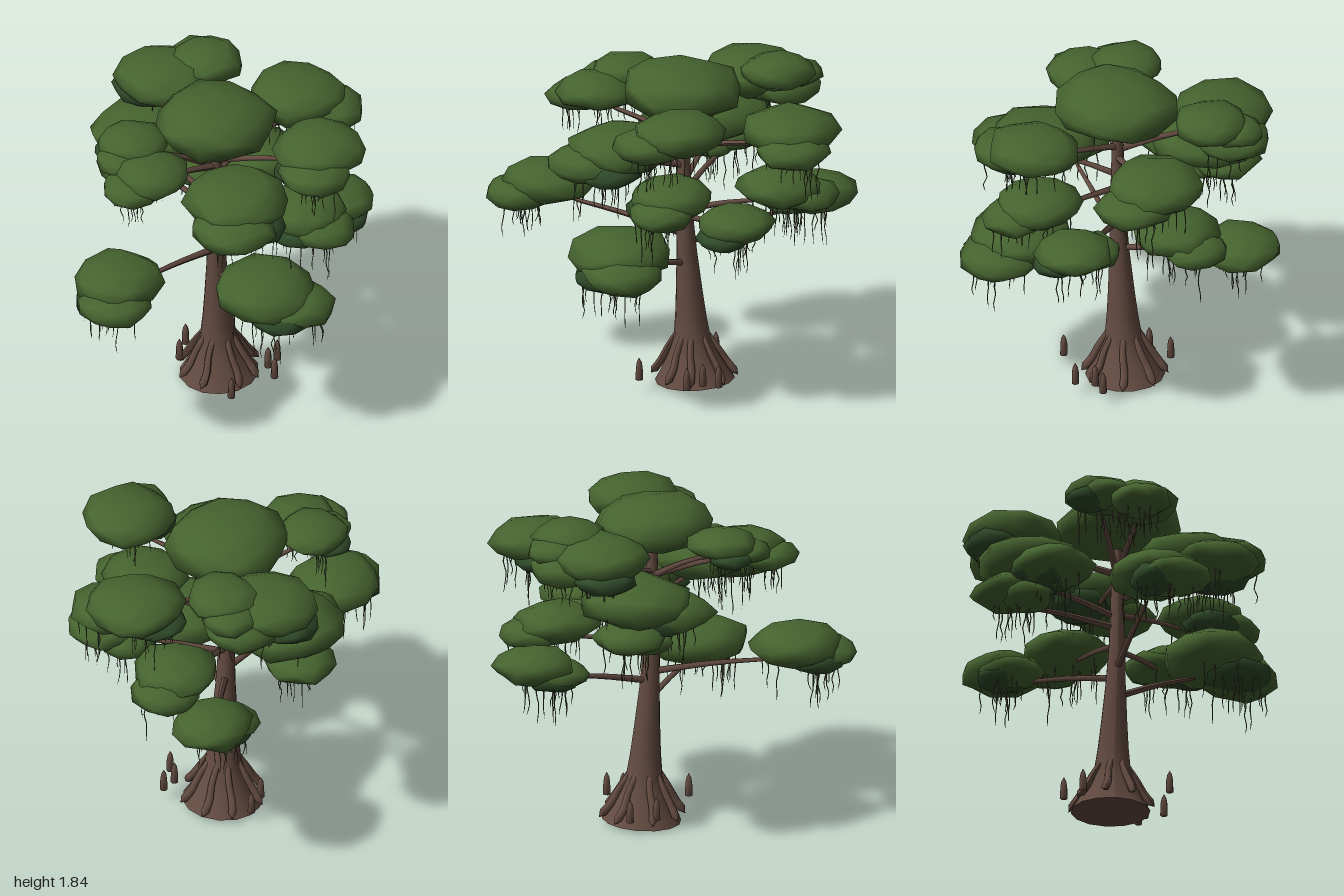
import * as THREE from 'three';
import { mergeVertices, mergeGeometries } from 'three/addons/utils/BufferGeometryUtils.js';

const V = (x, y, z) => new THREE.Vector3(x, y, z);
const profileOf = (pairs) => pairs.map(([r, y]) => new THREE.Vector2(r, y));

const mat = (name, color) => {
  const m = new THREE.MeshStandardMaterial({ color });
  m.name = name;
  return m;
};

// Small seeded generator
function seeded(seed) {
  return () => {
    seed = (seed * 16807) % 2147483647;
    return seed / 2147483647;
  };
}

// Trunk centre line leans slightly with height
const trunkAt = (y) => V(-0.065 + 0.03 * Math.min(1, y), y, -0.14 + 0.05 * Math.min(1, y));

// Tapered tube with a closed tip
function limb(points, r0, r1, sides) {
  const steps = 8;
  const curve = new THREE.CatmullRomCurve3(points);
  const geo = new THREE.TubeGeometry(curve, steps, r0, sides);
  const pos = geo.attributes.position;
  const v = V(0, 0, 0);
  for (let i = 0; i <= steps; i++) {
    const c = curve.getPointAt(i / steps);
    const s = i === steps ? 0.02 : 1 + (r1 / r0 - 1) * (i / steps);
    for (let j = 0; j <= sides; j++) {
      const k = i * (sides + 1) + j;
      v.fromBufferAttribute(pos, k).sub(c).multiplyScalar(s).add(c);
      pos.setXYZ(k, v.x, v.y, v.z);
    }
  }
  geo.computeVertexNormals();
  return geo;
}

// Flattened, irregular foliage lobe
function lobe(r, rand) {
  let geo = new THREE.IcosahedronGeometry(1, 1);
  geo.deleteAttribute('normal');
  geo.deleteAttribute('uv');
  geo = mergeVertices(geo, 1e-3);
  geo.rotateY(rand() * 6.28);
  const pos = geo.attributes.position;
  for (let i = 0; i < pos.count; i++) {
    const s = r * (0.9 + rand() * 0.2);
    pos.setXYZ(i, pos.getX(i) * s, pos.getY(i) * s * 0.45, pos.getZ(i) * s);
  }
  geo.computeVertexNormals();
  return geo;
}

// Bend a lathed trunk part along the lean, with a slightly sloping foot
function lean(geo) {
  const pos = geo.attributes.position;
  for (let i = 0; i < pos.count; i++) {
    const y = pos.getY(i);
    const c = trunkAt(y);
    const z = pos.getZ(i) + c.z;
    const slope = Math.max(0, 1 - y / 0.3) * 0.06 * (0.08 - z);
    pos.setXYZ(i, pos.getX(i) + c.x, Math.max(0, y + slope), z);
  }
  geo.computeVertexNormals();
  return geo;
}

// Clusters: branch height on trunk (0 for none), main pad centre, radius,
// then compass angles of the smaller side lobes (the second one is dark)
const CLUSTERS = [
  ['crown', 0, -0.03, 1.68, -0.08, 0.33, []],
  ['topBack', 1.35, -0.09, 1.54, -0.72, 0.26, [-35, 140]],
  ['topLeft', 1.42, 0.5, 1.64, -0.37, 0.25, [50, 90]],
  ['topRight', 1.4, -0.58, 1.63, -0.2, 0.27, [-98, 150]],
  ['topRightUpper', 0, -0.48, 1.7, -0.41, 0.2, [-165]],
  ['topFront', 1.38, -0.19, 1.65, 0.36, 0.19, [70, 130]],
  ['topFrontLeft', 1.38, 0.03, 1.59, 0.42, 0.21, [95]],
  ['middleLeft', 1.24, 0.34, 1.42, 0.08, 0.28, [45, 0]],
  ['middleLeftBack', 1.16, 0.44, 1.25, -0.3, 0.23, [-5, 60]],
  ['middleRight', 1.14, -0.51, 1.38, -0.02, 0.3, [60, 70]],
  ['middleRightLow', 1.08, -0.64, 1.22, -0.02, 0.19, [30]],
  ['middleBack', 0.98, -0.25, 1.14, -0.56, 0.23, [-120]],
  ['middleBackLeft', 0.95, 0.33, 1.12, -0.63, 0.21, [150, 20]],
  ['lowFront', 0.84, 0.07, 1.04, 0.69, 0.25, [45, 80]],
  ['lowRight', 0.79, -0.61, 1.0, -0.57, 0.22, [70, 90]],
  ['lowLeft', 0.68, 0.48, 0.88, 0, 0.28, [-35, 0]],
];

// Side lobes by order: distance, size and drop as shares of the main radius
const SIDE_LOBES = [
  { distance: 0.62, size: 0.78, drop: 0.22 },
  { distance: 0.45, size: 0.66, drop: 0.3 },
];

export function createModel() {
  const root = new THREE.Group();
  root.name = 'swampTree';
  const bark = mat('bark', 0x624a40);
  const leaf = mat('leaf', 0x45632f);
  const darkLeaf = mat('darkLeaf', 0x2f4a29);
  const moss = mat('moss', 0x565a42);
  const rand = seeded(4217);

  const add = (parent, name, geo, material) => {
    const mesh = new THREE.Mesh(geo, material);
    mesh.name = name;
    parent.add(mesh);
    return mesh;
  };

  // Flared trunk and its flat underside
  const trunk = profileOf([[0.215, 0], [0.18, 0.06], [0.135, 0.15], [0.1, 0.25], [0.084, 0.38],
    [0.072, 0.52], [0.055, 0.75], [0.044, 1], [0.036, 1.25], [0.028, 1.62]]);
  add(root, 'trunk', lean(new THREE.LatheGeometry(trunk, 14)), bark);
  add(root, 'trunkBase', lean(new THREE.LatheGeometry(profileOf([[0.001, 0], [0.215, 0]]), 14)), bark);

  // Buttress roots around the flare
  const roots = 8;
  for (let i = 0; i < roots; i++) {
    const a = (i / roots) * Math.PI * 2 + 0.25 + (rand() - 0.5) * 0.25;
    const at = (r, y, turn) => trunkAt(y).add(V(Math.cos(a + turn) * r, 0, Math.sin(a + turn) * r));
    const path = [at(0.085, 0.27, 0), at(0.135, 0.19, 0.04), at(0.18, 0.11, 0), at(0.235, 0.035, 0.06)];
    add(root, 'buttressRoot', limb(path, 0.016, 0.024, 7), bark);
  }

  // Root knees standing around the foot
  const knee = new THREE.LatheGeometry(
    profileOf([[0.001, 0], [0.021, 0], [0.019, 0.07], [0.014, 0.1], [0.001, 0.125]]), 7);
  for (const [x, z] of [[0.235, 0.03], [0.24, -0.27], [0.14, -0.31], [0.116, -0.395], [-0.23, 0], [-0.32, -0.12]]) {
    add(root, 'rootKnee', knee, bark).position.set(x, 0.07, z);
  }

  // Foliage clusters with their branches and hanging moss
  for (const [name, from, x, y, z, radius, angles] of CLUSTERS) {
    const group = new THREE.Group();
    group.name = name + 'Foliage';
    root.add(group);

    const centre = V(x, y, z);
    const lobes = [{ at: centre, r: radius, material: leaf }];
    angles.forEach((degrees, i) => {
      const { distance, size, drop } = SIDE_LOBES[i];
      const a = THREE.MathUtils.degToRad(degrees);
      const offset = V(Math.cos(a) * distance, -drop, Math.sin(a) * distance).multiplyScalar(radius);
      lobes.push({ at: offset.add(centre), r: radius * size, material: i === 1 ? darkLeaf : leaf });
    });
    for (const l of lobes) add(group, 'leafPad', lobe(l.r, rand), l.material).position.copy(l.at);
    if (from === 0) continue;

    // Branch running from the trunk into the underside of the pad
    const start = trunkAt(from);
    const end = start.clone().lerp(centre, 0.88);
    end.y = y - 0.35 * radius;
    const mid = start.clone().lerp(end, 0.5).add(V(0, 0.012, 0));
    add(group, 'branch', limb([start, mid, end], 0.02, 0.01, 6), bark);

    // Thin crooked strands below the lobes
    const strands = [];
    for (let i = 0; i < radius * 70; i++) {
      const { at, r } = lobes[i % lobes.length];
      const a = rand() * 6.28;
      const reach = 0.75 * r * Math.sqrt(rand());
      const length = 0.08 + rand() * 0.14 + 0.17 * r;
      const path = [];
      for (let k = 0; k <= 4; k++) {
        path.push(V(
          at.x + Math.cos(a) * reach + (rand() - 0.5) * 0.018,
          at.y - 0.2 * r - (length * k) / 4,
          at.z + Math.sin(a) * reach + (rand() - 0.5) * 0.018));
      }
      strands.push(limb(path, 0.004, 0.002, 4));
    }
    add(group, 'hangingMoss', mergeGeometries(strands), moss);
  }

  return root;
}
